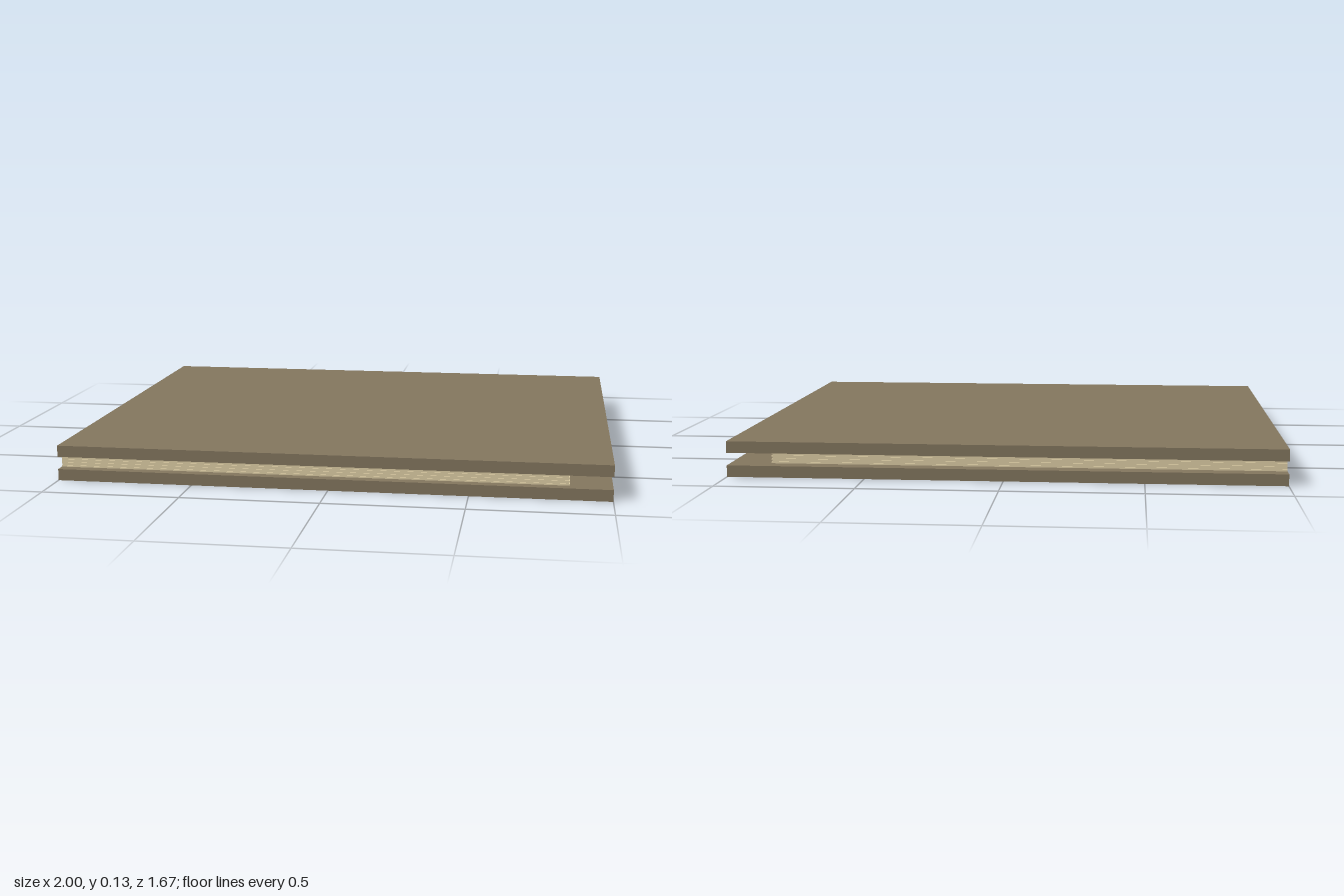
import * as THREE from 'three';

export function createModel() {
  const model = new THREE.Group();
  model.name = 'boardsWithSheets';

  const boardMaterial = new THREE.MeshStandardMaterial({ color: 0x84775f });
  const sheetMaterial = new THREE.MeshStandardMaterial({ color: 0xdfcfa6 });

  // Box given by its limits on each axis
  function slab(name, [x0, x1], [y0, y1], [z0, z1], material) {
    const mesh = new THREE.Mesh(new THREE.BoxGeometry(x1 - x0, y1 - y0, z1 - z0), material);
    mesh.position.set((x0 + x1) / 2, (y0 + y1) / 2, (z0 + z1) / 2);
    mesh.name = name;
    model.add(mesh);
  }

  // Two equal outer boards
  const boardHeight = 0.042, totalHeight = 0.13;
  slab('bottomBoard', [-1, 1], [0, boardHeight], [-0.837, 0.837], boardMaterial);
  slab('topBoard', [-1, 1], [totalHeight - boardHeight, totalHeight], [-0.837, 0.837], boardMaterial);

  // Stack of thin sheets, flush at the -x edge, their other edges slightly uneven
  const count = 8;
  const thickness = (totalHeight - 2 * boardHeight) / count;
  for (let i = 0; i < count; i++) {
    const y = boardHeight + i * thickness;
    const inset = 0.003 * (i % 2);
    slab('sheet', [-0.999, 0.85 - inset], [y, y + thickness],
      [-0.783 + inset, 0.8 - inset], sheetMaterial);
  }
  return model;
}
